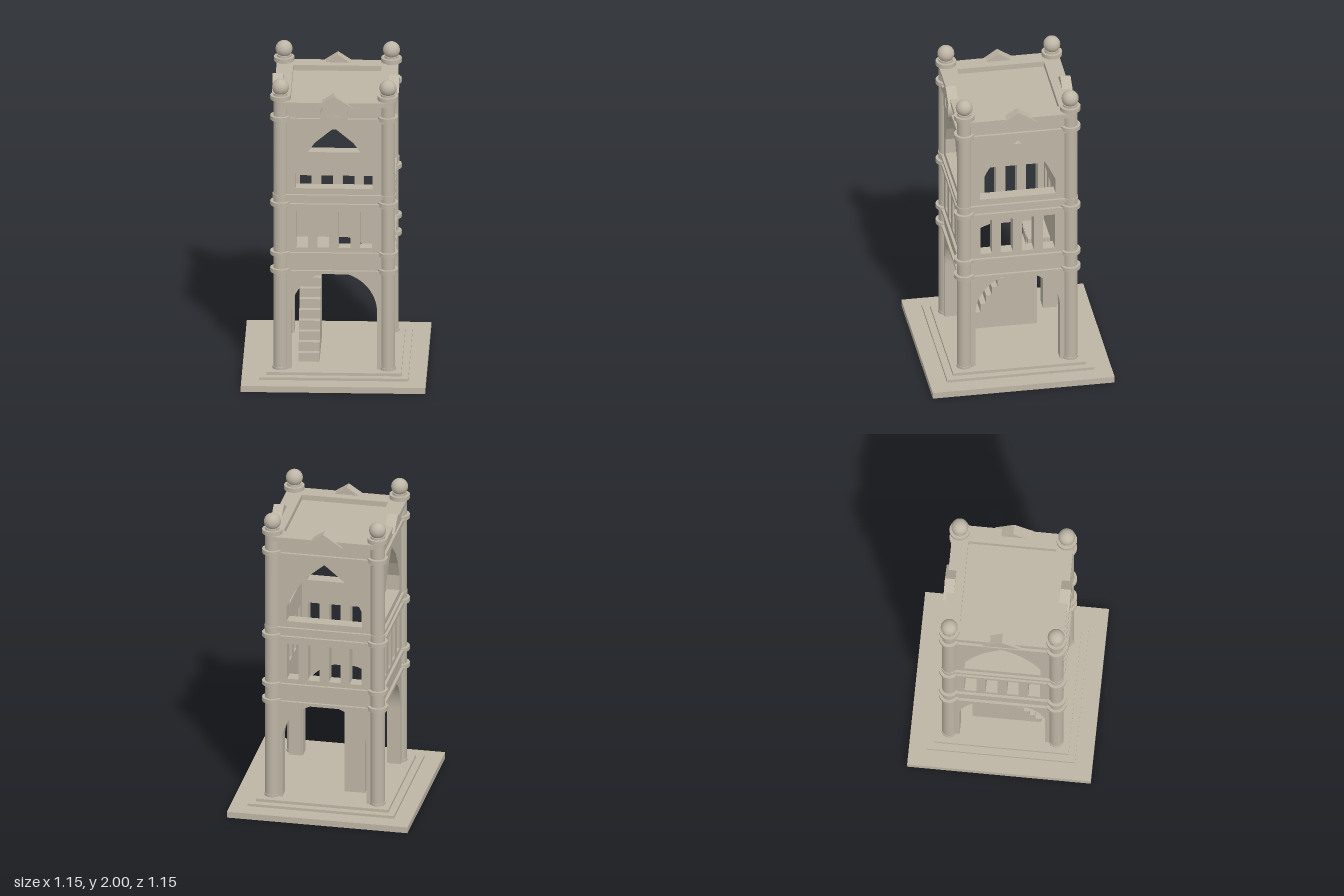
import * as THREE from 'three';

export function createModel() {
  const tower = new THREE.Group();
  tower.name = 'bellTower';
  const stone = new THREE.MeshStandardMaterial({ color: 0xbdb5a5 });
  stone.name = 'stone';

  const add = (parent, name, geometry, x = 0, y = 0, z = 0) => {
    const mesh = new THREE.Mesh(geometry, stone);
    mesh.name = name;
    mesh.position.set(x, y, z);
    parent.add(mesh);
    return mesh;
  };
  // Box given by its lower and upper limits
  const block = (parent, name, x0, x1, y0, y1, z0, z1) =>
    add(parent, name, new THREE.BoxGeometry(x1 - x0, y1 - y0, z1 - z0),
      (x0 + x1) / 2, (y0 + y1) / 2, (z0 + z1) / 2);
  const extrude = (shape, depth) =>
    new THREE.ExtrudeGeometry(shape, { depth, bevelEnabled: false, curveSegments: 24 });
  const polygon = (points) => new THREE.Shape(points.map(([x, y]) => new THREE.Vector2(x, y)));

  // Stepped base
  [[0.575, 0, 0.04], [0.465, 0.04, 0.057], [0.42, 0.057, 0.075]].forEach(([h, y0, y1], i) =>
    block(tower, 'baseStep' + (i + 1), -h, h, y0, y1, -h, h));

  // Wall outline with a round doorway cut up from the ground
  const wall = new THREE.Shape();
  wall.moveTo(-0.315, 0.07);
  wall.lineTo(-0.268, 0.07);
  wall.lineTo(-0.268, 0.455);
  wall.absarc(0, 0.455, 0.268, Math.PI, 0, true);
  wall.lineTo(0.268, 0.07);
  wall.lineTo(0.315, 0.07);
  wall.lineTo(0.315, 1.85);
  wall.lineTo(-0.315, 1.85);
  wall.closePath();
  // Four slots and a pointed belfry opening
  for (const x of [-0.2, -0.068, 0.065, 0.198]) {
    wall.holes.push(polygon([[x - 0.037, 0.885], [x + 0.037, 0.885], [x + 0.037, 1.125], [x - 0.037, 1.125]]));
  }
  wall.holes.push(polygon([[-0.24, 1.28], [0.24, 1.28], [0.24, 1.38], [0.19, 1.485], [0.12, 1.585],
    [0, 1.685], [-0.12, 1.585], [-0.19, 1.485], [-0.24, 1.38]]));
  const wallGeometry = extrude(wall, 0.08);
  const gableGeometry = extrude(polygon([[-0.12, 1.83], [0.12, 1.83], [0, 1.91]]), 0.065);

  // Bands on each wall: bottom, top, outer face
  const bands = [[0.715, 0.735, 0.372], [0.83, 0.855, 0.372], [1.155, 1.18, 0.372],
    [1.215, 1.24, 0.372], [1.72, 1.75, 0.372], [1.83, 1.86, 0.38]];

  ['front', 'left', 'back', 'right'].forEach((label, i) => {
    const side = new THREE.Group();
    side.name = label + 'Side';
    side.rotation.y = i * Math.PI / 2;
    tower.add(side);
    add(side, 'wall', wallGeometry, 0, 0, 0.275);
    for (const [y0, y1, z] of bands) block(side, 'band', -0.335, 0.335, y0, y1, 0.275, z);
    add(side, 'gable', gableGeometry, 0, 0, 0.33);

    // Clock on the front only
    if (i === 0) {
      const face = add(side, 'clockFace', new THREE.CylinderGeometry(0.087, 0.087, 0.04, 32), 0, 1.775, 0.374);
      face.rotation.x = Math.PI / 2;
      block(side, 'minuteHand', -0.004, 0.004, 1.775, 1.825, 0.392, 0.398);
      block(side, 'hourHand', -0.004, 0.035, 1.771, 1.779, 0.392, 0.398);
    }
  });

  // Corner columns with rings and ball finials
  const rings = [[0.075, 0.09, 0.049], [0.72, 0.747, 0.064], [0.835, 0.86, 0.064],
    [1.165, 1.192, 0.064], [1.215, 1.24, 0.05], [1.735, 1.762, 0.064], [1.87, 1.897, 0.064]];
  for (const x of [-0.335, 0.335]) {
    for (const z of [-0.335, 0.335]) {
      const column = new THREE.Group();
      column.name = 'cornerColumn';
      column.position.set(x, 0, z);
      tower.add(column);
      add(column, 'shaft', new THREE.CylinderGeometry(0.045, 0.045, 1.835, 32), 0, 0.9925);
      for (const [y0, y1, r] of rings) {
        add(column, 'ring', new THREE.CylinderGeometry(r, r, y1 - y0, 32), 0, (y0 + y1) / 2);
      }
      add(column, 'finial', new THREE.SphereGeometry(0.053, 32, 24), 0, 1.947);
    }
  }

  // Sunken roof slab
  block(tower, 'roof', -0.28, 0.28, 1.79, 1.825, -0.28, 0.28);

  // Solid staircase, climbing towards the back
  const steps = 11, rise = 0.058, run = 0.036;
  const profile = [[0.23, 0.07]];
  for (let i = 0; i < steps; i++) {
    const z = 0.23 - i * run, y = 0.075 + (i + 1) * rise;
    profile.push([z, y], [i === steps - 1 ? -0.2 : z - run, y]);
  }
  profile.push([-0.2, 0.07]);
  // Shape x becomes model z after the turn
  const stairs = add(tower, 'stairs', extrude(polygon(profile), 0.132), -0.095, 0, 0);
  stairs.rotation.y = -Math.PI / 2;
  block(tower, 'landing', -0.275, -0.05, 0.68, 0.716, -0.275, -0.135);

  return tower;
}
